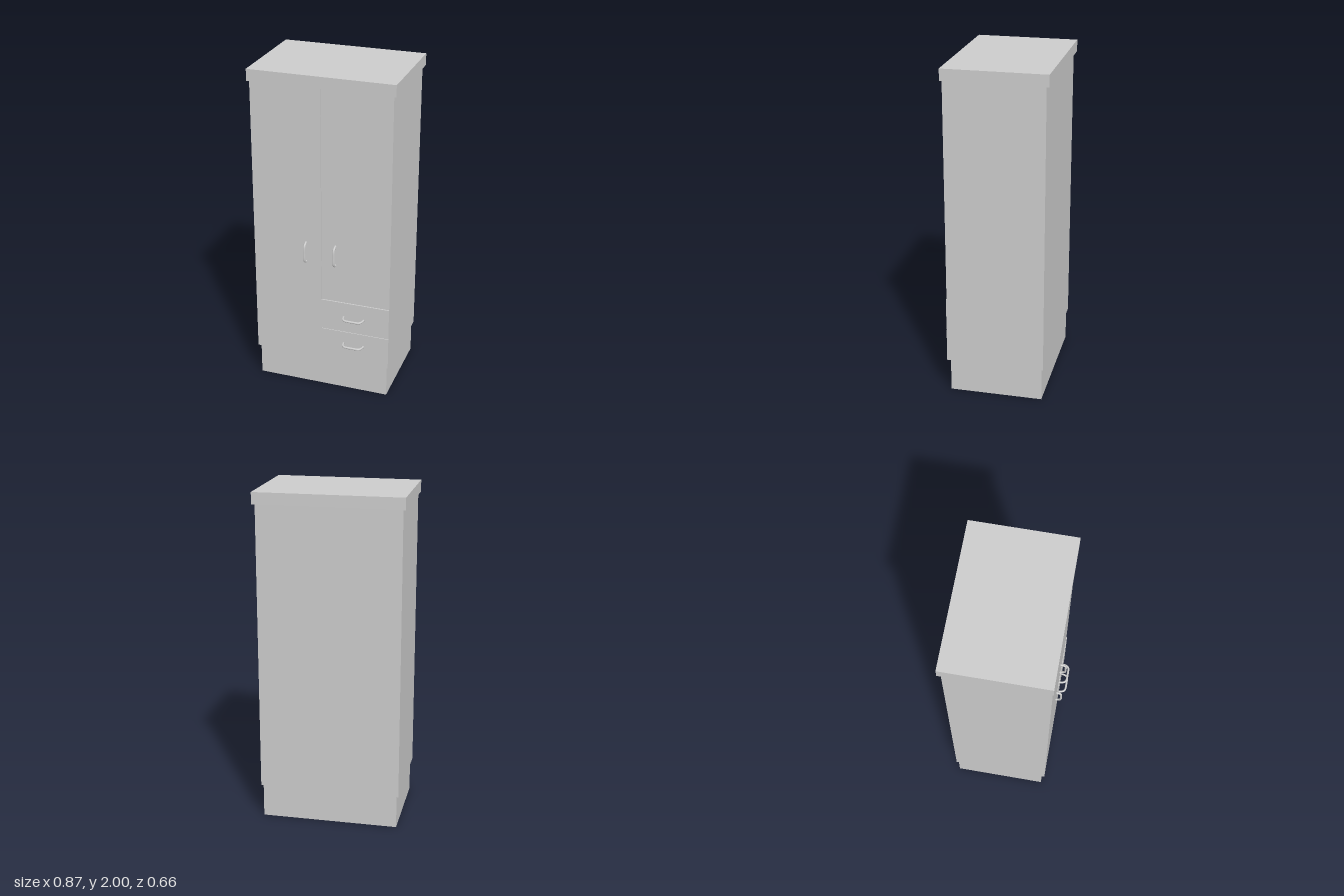
import * as THREE from 'three';

export function createModel() {
  const group = new THREE.Group();
  group.name = 'wardrobe';
  const material = new THREE.MeshStandardMaterial({ color: 0xcccccc });

  // Box given by its minimum and maximum on each axis
  function box(name, x0, x1, y0, y1, z0, z1) {
    const mesh = new THREE.Mesh(new THREE.BoxGeometry(x1 - x0, y1 - y0, z1 - z0), material);
    mesh.position.set((x0 + x1) / 2, (y0 + y1) / 2, (z0 + z1) / 2);
    mesh.name = name;
    group.add(mesh);
  }

  // Plinth, carcass and overhanging top
  box('plinth', -0.41, 0.41, 0, 0.205, -0.3, 0.258);
  box('carcass', -0.422, 0.422, 0.203, 1.93, -0.31, 0.27);
  box('topBoard', -0.437, 0.437, 1.93, 2, -0.328, 0.284);

  // Front: one L-shaped panel (long door joined to the drawer fronts) with a slot between drawers
  const front = 0.278, gap = 0.004;
  box('leftDoor', -0.422, 0, 0.203, 1.93, 0.27, front);
  box('rightDoor', gap, 0.422, 0.61, 1.93, 0.27, front - 0.004);
  box('upperDrawer', 0, 0.422, 0.41, 0.606, 0.27, front);
  box('lowerDrawer', 0, 0.422, 0.203, 0.407, 0.27, front);

  // Bowed handle lying along x, projecting along +z
  function handle(name, x, y, z, depth, vertical) {
    const points = [
      [-0.063, -0.006], [-0.061, 0.35 * depth], [-0.053, 0.78 * depth], [-0.042, 0.95 * depth],
      [0, depth],
      [0.042, 0.95 * depth], [0.053, 0.78 * depth], [0.061, 0.35 * depth], [0.063, -0.006],
    ].map(([px, pz]) => new THREE.Vector3(px, 0, pz));
    const path = new THREE.CatmullRomCurve3(points);
    const mesh = new THREE.Mesh(new THREE.TubeGeometry(path, 40, 0.0065, 12), material);
    mesh.position.set(x, y, z);
    if (vertical) mesh.rotation.z = Math.PI / 2;
    mesh.name = name;
    group.add(mesh);
  }
  handle('leftDoorHandle', -0.094, 0.912, front, 0.03, true);
  handle('rightDoorHandle', 0.087, 0.912, front - 0.004, 0.034, true);
  handle('upperDrawerHandle', 0.202, 0.51, front, 0.043, false);
  handle('lowerDrawerHandle', 0.202, 0.327, front, 0.043, false);

  return group;
}
